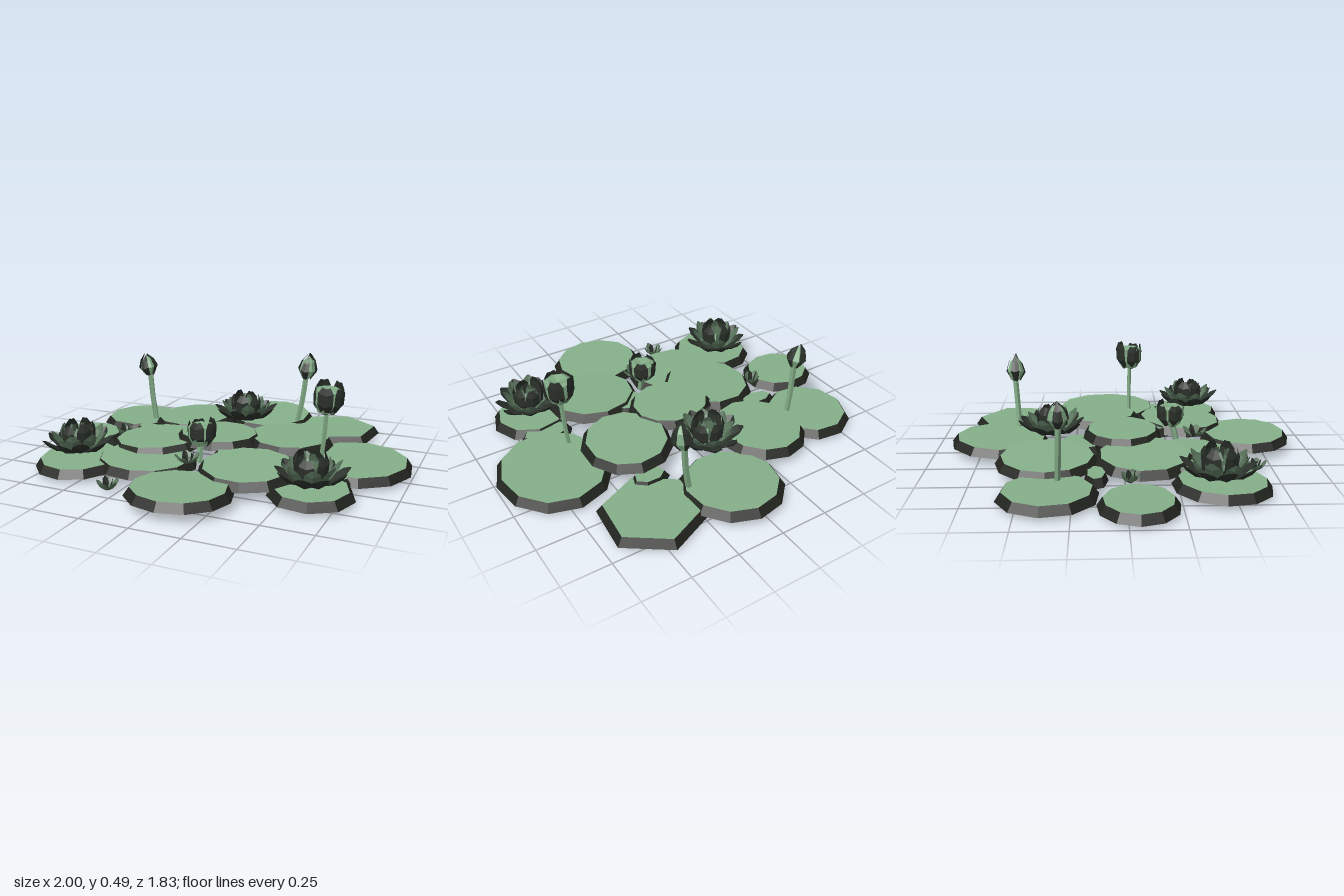
import * as THREE from 'three';
import { mergeGeometries } from 'three/addons/utils/BufferGeometryUtils.js';

const paint = (color, side = THREE.FrontSide) => new THREE.MeshStandardMaterial({ color, side, flatShading: true });
const green = paint(0x86b08a);
const dark = paint(0x22241f);
const leaf = paint(0x7fa883, THREE.DoubleSide);
const petalGreen = paint(0x58735b, THREE.DoubleSide);
const petalDark = paint(0x2a302a, THREE.DoubleSide);

let seed = 7;
const rand = () => (seed = (seed * 16807) % 2147483647) / 2147483647;
const jitter = (a) => (rand() * 2 - 1) * a;

// Bevelled disc with a flat green top and a dark sloping rim
function lilyPad([x, z, rx, rz, top, sides = 12, turn = 0, tiltX = 0, tiltZ = 0]) {
  const h = 0.042;
  const g = new THREE.CylinderGeometry(1 - 0.03 / Math.max(rx, rz), 1, h, sides, 1, false, turn);
  g.scale(rx, 1, rz);
  const pad = new THREE.Mesh(g, [dark, green, dark]);
  pad.position.set(x, top - h / 2, z);
  pad.rotation.set(tiltX, 0, tiltZ);
  pad.name = 'lilyPad';
  return pad;
}

// Cupped pointed petal: profile rows are [distance out, height, half width]
function petalGeometry(rows, angle) {
  const pos = [], idx = [];
  rows.forEach(([out, y, w]) => {
    for (const s of [-1, 0, 1]) pos.push(s * w, y + Math.abs(s) * w * 0.3, out - Math.abs(s) * w * 0.2);
  });
  for (let r = 0; r < rows.length - 1; r++) {
    for (let c = 0; c < 2; c++) {
      const a = r * 3 + c, b = a + 3;
      idx.push(a, b, a + 1, a + 1, b, b + 1);
    }
  }
  const g = new THREE.BufferGeometry();
  g.setAttribute('position', new THREE.Float32BufferAttribute(pos, 3));
  g.setIndex(idx);
  g.computeVertexNormals();
  return g.rotateY(angle);
}

// One ring of petals sharing a profile, slightly varied
function petalRing(name, material, count, rows, offset = 0) {
  const petals = [];
  for (let i = 0; i < count; i++) {
    const reach = 1 + jitter(0.06), rise = 1 + jitter(0.1);
    petals.push(petalGeometry(rows.map(([out, y, w]) => [out * reach, y * rise, w]),
      ((i + offset) / count) * Math.PI * 2 + jitter(0.08)));
  }
  const mesh = new THREE.Mesh(mergeGeometries(petals), material);
  mesh.name = name;
  return mesh;
}

// Open petal profile, flat at first and curling up to a tip
const openPetal = (reach, height, width, base = 0.02) => [
  [base, 0, width * 0.35],
  [base + (reach - base) * 0.6, height * 0.3, width],
  [base + (reach - base) * 0.88, height * 0.7, width * 0.85],
  [reach, height, width * 0.15],
];

function waterLily(x, y, z, size) {
  const flower = new THREE.Group();
  flower.name = 'waterLily';
  flower.add(
    petalRing('outerPetals', petalDark, 9, openPetal(0.178, 0.085, 0.045)),
    petalRing('middlePetals', petalGreen, 8, openPetal(0.14, 0.115, 0.042), 0.5),
    petalRing('innerPetals', petalDark, 6, [[0.02, 0, 0.02], [0.08, 0.05, 0.04], [0.085, 0.11, 0.036], [0.07, 0.15, 0.012]]),
    petalRing('heartPetals', petalGreen, 5, [[0.01, 0.02, 0.01], [0.045, 0.05, 0.025], [0.05, 0.1, 0.024], [0.035, 0.14, 0.008]], 0.5),
  );
  const heart = new THREE.Mesh(new THREE.ConeGeometry(0.035, 0.08, 6), green);
  heart.position.y = 0.05;
  heart.name = 'flowerHeart';
  flower.add(heart);
  flower.position.set(x, y, z);
  flower.scale.setScalar(size);
  return flower;
}

// Bent stem
function stem(from, to, radius) {
  const a = new THREE.Vector3(...from), b = new THREE.Vector3(...to);
  const mid = a.clone().lerp(b, 0.5);
  mid.x += (b.x - a.x) * 0.15;
  const mesh = new THREE.Mesh(
    new THREE.TubeGeometry(new THREE.CatmullRomCurve3([a, mid, b]), 4, radius, 5), leaf);
  mesh.name = 'stem';
  return mesh;
}

// Bud body wrapped by sepals: open buds are blunt cups, closed ones pointed
function bud(x, y, z, r, h, open, lean = 0) {
  const profile = open
    ? [[0, 0], [0.6, 0.06], [0.85, 0.35], [0.88, 0.85], [0.6, 0.93], [0, 0.8]]
    : [[0, 0], [0.5, 0.1], [0.85, 0.4], [0.55, 0.75], [0, 0.97]];
  const rows = open
    ? [[0.5, 0.01, 0.3], [0.9, 0.33, 0.48], [0.93, 0.75, 0.48], [0.85, 1, 0.25]]
    : [[0.4, 0.02, 0.2], [0.92, 0.38, 0.42], [0.65, 0.72, 0.3], [0.15, 1, 0.05]];
  const body = new THREE.Mesh(new THREE.LatheGeometry(
    profile.map(([a, b]) => new THREE.Vector2(a * r, b * h)), 7), leaf);
  body.name = 'budBody';
  const group = new THREE.Group();
  group.name = open ? 'openingBud' : 'closedBud';
  group.add(body, petalRing('sepals', petalDark, open ? 5 : 4, rows.map(([a, b, w]) => [a * r, b * h, w * r])));
  group.position.set(x, y, z);
  group.rotation.z = lean;
  return group;
}

function sprout(x, y, z, r) {
  const group = new THREE.Group();
  group.name = 'sprout';
  group.add(
    petalRing('sproutLeaves', petalGreen, 5, openPetal(r, 0.05, 0.022, 0.008)),
    petalRing('sproutHeart', petalDark, 3, openPetal(r * 0.5, 0.06, 0.016, 0.006)),
  );
  group.position.set(x, y, z);
  return group;
}

export function createModel() {
  const model = new THREE.Group();
  model.name = 'waterLilyPond';

  // Pads: x, z, radius x, radius z, top height, sides, turn, tilts
  const pads = [
    [0.04, -0.65, 0.26, 0.265, 0.08, 11, 0.2, 0.05, 0],
    [0.45, -0.59, 0.265, 0.26, 0.06, 6, -0.1],
    [0.71, -0.075, 0.29, 0.31, 0.062, 11, 0.3],
    [0.33, -0.14, 0.235, 0.25, 0.125, 11, 0.1, 0, -0.03],
    [-0.02, 0, 0.235, 0.21, 0.14, 12, 0.2],
    [-0.33, 0.1, 0.255, 0.255, 0.105, 11, 0, 0, 0.05],
    [-0.33, -0.38, 0.245, 0.26, 0.1, 12, 0, 0, 0.05],
    [-0.68, -0.36, 0.23, 0.24, 0.062, 10, 0.2],
    [-0.8, 0.05, 0.205, 0.19, 0.06, 11, 0.14],
    [-0.6, 0.45, 0.225, 0.24, 0.068, 11, 0.1, 0.03, 0],
    [-0.27, 0.35, 0.27, 0.235, 0.08, 12, 0.1, 0.03, 0],
    [0.075, 0.67, 0.26, 0.24, 0.085, 12, 0, -0.02, 0],
    [0.28, 0.335, 0.255, 0.25, 0.108, 11, 0.2, 0.05, 0],
    [0.62, 0.4, 0.21, 0.205, 0.066, 9, 0.2, 0.02, 0],
    // Small leaves filling the gaps between the large ones
    [-0.1, -0.22, 0.15, 0.13, 0.092, 8],
    [0.14, 0.17, 0.12, 0.11, 0.105, 8],
    [0.62, 0.21, 0.15, 0.09, 0.06, 8],
    [-0.5, -0.14, 0.12, 0.06, 0.07, 7],
    [0.35, -0.4, 0.11, 0.07, 0.075, 7],
  ];
  pads.forEach((p) => model.add(lilyPad(p)));

  model.add(
    waterLily(-0.01, 0.105, -0.37, 1),
    waterLily(-0.62, 0.075, 0.43, 1.02),
    waterLily(0.62, 0.08, 0.42, 1),
  );

  // Tall buds on stems
  model.add(
    stem([0.23, 0.05, -0.57], [0.275, 0.35, -0.59], 0.016), bud(0.275, 0.325, -0.585, 0.058, 0.145, false, -0.12),
    stem([-0.57, 0.04, -0.32], [-0.6, 0.35, -0.31], 0.016), bud(-0.6, 0.325, -0.31, 0.058, 0.125, false, 0.2),
    stem([0.56, 0.04, 0.055], [0.585, 0.34, 0.06], 0.012), bud(0.585, 0.325, 0.06, 0.08, 0.14, true, -0.05),
  );

  // Low bud in front of the middle pad, with small sprouts around the pads
  model.add(
    stem([0, 0.06, 0.29], [0, 0.17, 0.265], 0.016), bud(0, 0.145, 0.26, 0.078, 0.12, true),
    sprout(-0.02, 0.085, 0.385, 0.065), sprout(-0.31, 0, 0.66, 0.055), sprout(-0.59, 0.05, 0.02, 0.045),
  );
  return model;
}
